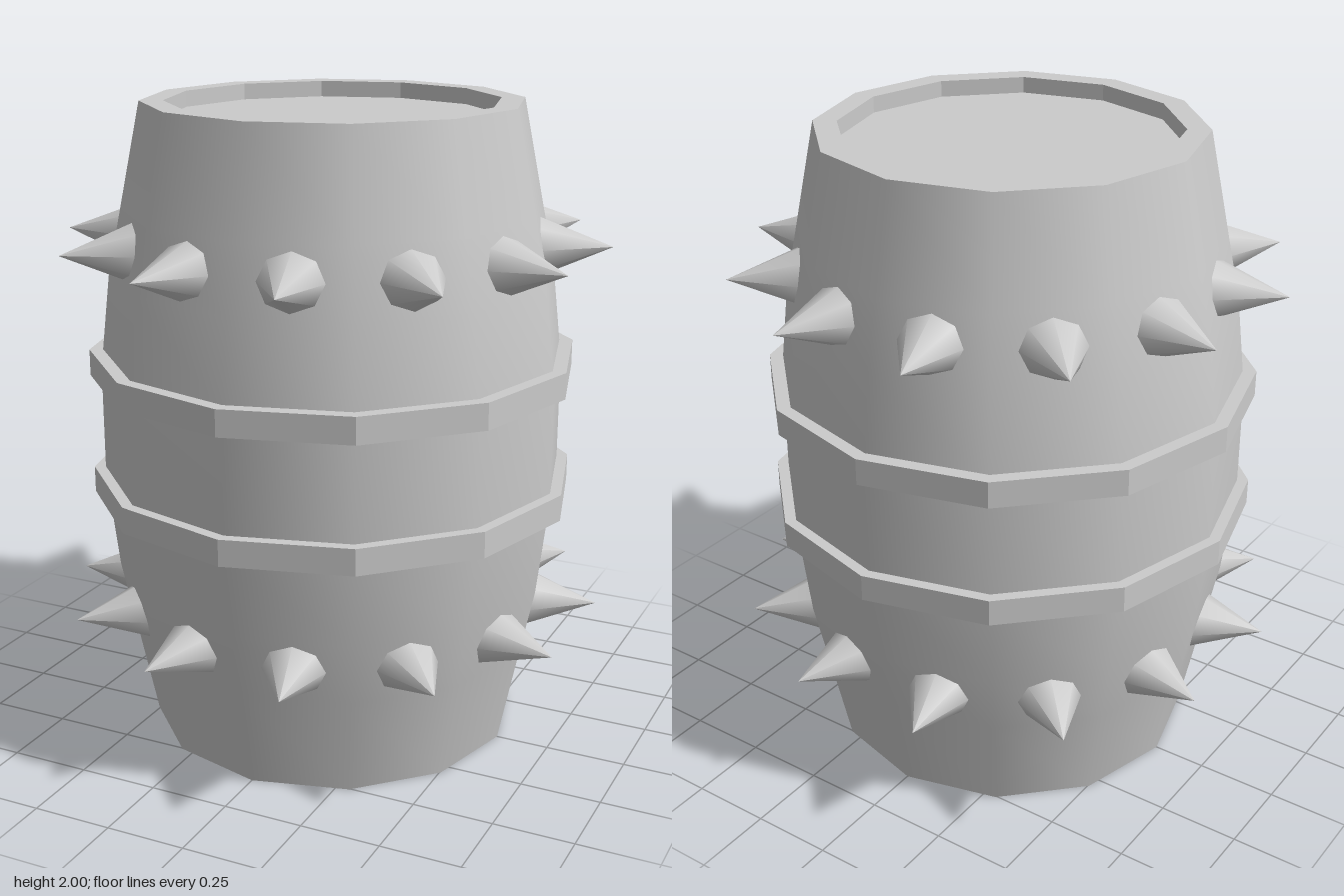
import * as THREE from 'three';

const SIDES = 12;

function material(flatShading) {
  return new THREE.MeshStandardMaterial({ color: 0xcccccc, flatShading, side: THREE.DoubleSide });
}

// Twelve-sided solid of revolution from [radius, y] pairs
function turned(name, points, flat) {
  const profile = points.map(([r, y]) => new THREE.Vector2(r, y));
  const mesh = new THREE.Mesh(new THREE.LatheGeometry(profile, SIDES), material(flat));
  mesh.name = name;
  return mesh;
}

// Eight-sided spike pointing along +z, its base slanted to lie on the sloping wall
function spikeGeometry(slope) {
  const length = 0.21;
  const geo = new THREE.ConeGeometry(1, length, 8, 1, false);
  geo.rotateX(Math.PI / 2);
  geo.scale(0.1, 0.086, 1);
  geo.translate(0, 0, -length / 2);
  const p = geo.attributes.position;
  for (let i = 0; i < p.count; i++) {
    if (p.getZ(i) < -0.1) p.setZ(i, p.getZ(i) - slope * p.getY(i));
  }
  geo.computeVertexNormals();
  return geo;
}

// Ring of spikes, one in the middle of every stave face
function spikeRow(name, y, slope) {
  const row = new THREE.Group();
  row.name = name;
  const geo = spikeGeometry(slope);
  const mat = material(false);
  for (let i = 0; i < SIDES; i++) {
    const a = ((i + 0.5) / SIDES) * Math.PI * 2;
    const spike = new THREE.Mesh(geo, mat);
    spike.name = 'spike';
    spike.position.set(Math.sin(a) * 0.85, y, Math.cos(a) * 0.85);
    spike.rotation.y = a;
    row.add(spike);
  }
  return row;
}

export function createModel() {
  const barrel = new THREE.Group();
  barrel.name = 'spikedBarrel';

  // Bulging wall, mirrored about mid height and open at the bottom
  const half = [[0.582, 0], [0.648, 0.32], [0.69, 0.52], [0.72, 0.78], [0.725, 0.85]];
  const wall = [...half, ...half.map(([r, y]) => [r, 2 - y]).reverse()];
  barrel.add(turned('wall', wall, false));

  // Flat rim and recessed lid
  barrel.add(turned('rimAndLid', [[0.582, 2], [0.51, 2], [0.51, 1.95], [0, 1.95]], true));

  // Two hoops around the middle
  for (const [name, y] of [['lowerHoop', 0.772], ['upperHoop', 1.156]]) {
    const top = y + 0.082;
    barrel.add(turned(name, [[0.71, y], [0.76, y], [0.76, top], [0.71, top]], true));
  }

  // Two rows of spikes
  barrel.add(spikeRow('lowerSpikes', 0.425, -0.2));
  barrel.add(spikeRow('upperSpikes', 1.58, 0.2));
  return barrel;
}
